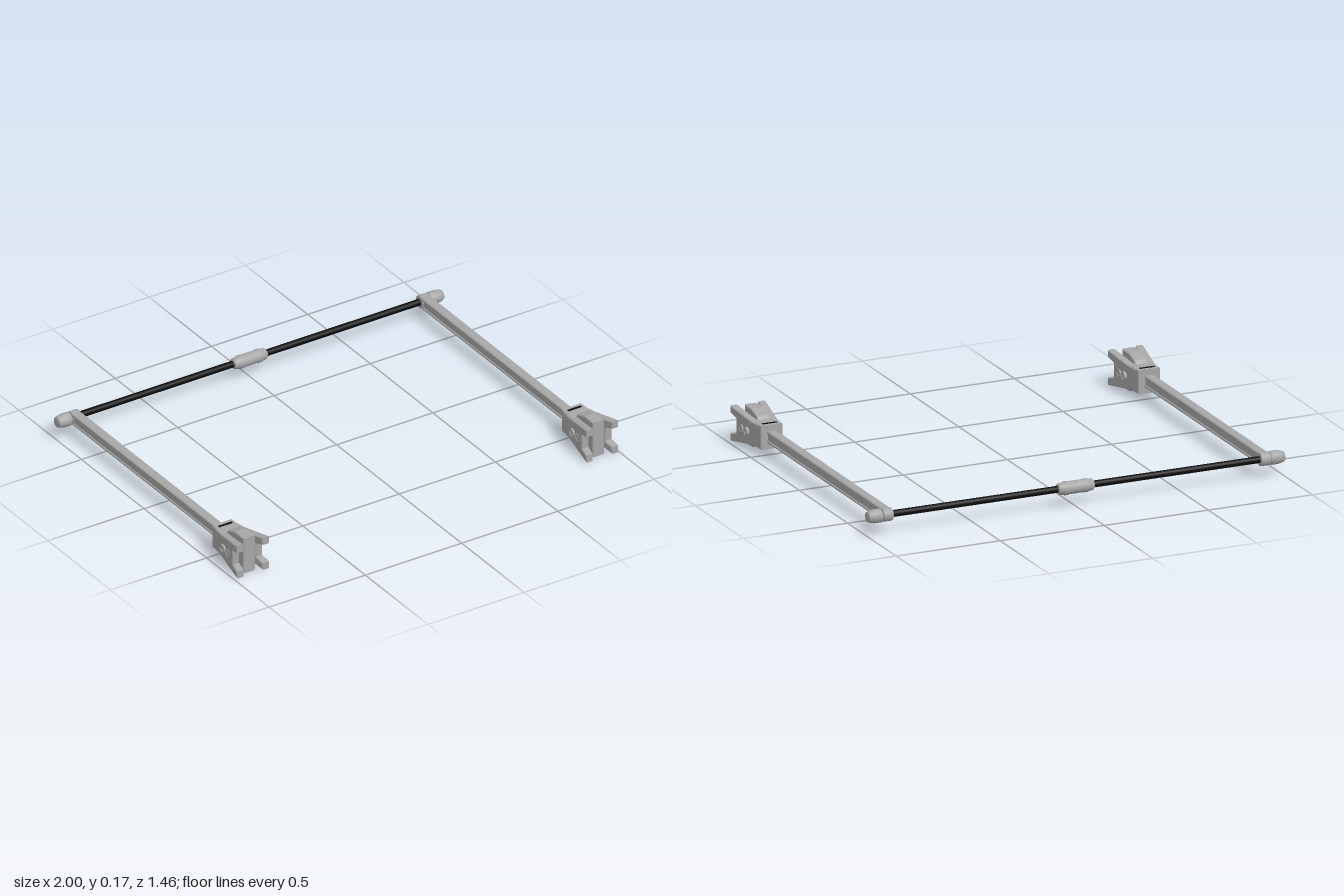
import * as THREE from 'three';

const Y = 0.0925, ARM_X = 0.907, BAR_Z = -0.7;

export function createModel() {
  const grey = new THREE.MeshStandardMaterial({ color: 0xa6a6a6 });
  grey.name = 'grey metal';
  const black = new THREE.MeshStandardMaterial({ color: 0x0b0b0b });
  black.name = 'black';

  const add = (parent, name, geo, mat, x = 0, y = 0, z = 0) => {
    const m = new THREE.Mesh(geo, mat);
    m.name = name;
    m.position.set(x, y, z);
    parent.add(m);
    return m;
  };
  const shapeOf = (pts) => new THREE.Shape(pts.map((p) => new THREE.Vector2(...p)));
  // side outline given as (z, y), extruded across x and centred
  const sideExtrude = (pts, width) => {
    const bevel = 0.004;
    const g = new THREE.ExtrudeGeometry(shapeOf(pts), {
      depth: width - 2 * bevel, bevelEnabled: true, bevelThickness: bevel,
      bevelSize: bevel, bevelOffset: -bevel, bevelSegments: 1,
    });
    g.translate(0, 0, -width / 2 + bevel);
    return g.rotateY(-Math.PI / 2);
  };
  // turned part along x, outline given as (radius, x)
  const turned = (pts, seg = 24) =>
    new THREE.LatheGeometry(pts.map((p) => new THREE.Vector2(...p)), seg).rotateZ(-Math.PI / 2);

  const model = new THREE.Group();
  model.name = 'gripperFrame';

  // crossbar and central grip
  add(model, 'crossbar', new THREE.CylinderGeometry(0.015, 0.015, 1.77, 20).rotateZ(Math.PI / 2), black, 0, Y, BAR_Z);
  add(model, 'centreGrip', turned([
    [0, -0.086], [0.02, -0.086], [0.025, -0.08], [0.028, -0.06], [0.031, -0.055], [0.031, -0.04],
    [0.029, -0.035], [0.029, 0.035], [0.031, 0.04], [0.031, 0.055], [0.028, 0.06], [0.025, 0.08],
    [0.02, 0.086], [0, 0.086],
  ]), grey, 0, Y, BAR_Z);

  for (const s of [-1, 1]) {
    const side = new THREE.Group();
    side.name = s > 0 ? 'leftSide' : 'rightSide';
    side.position.set(s * ARM_X, Y, 0);
    model.add(side);

    // grooved arm
    const half = [[0.018, -0.028], [0.0225, -0.024], [0.0225, -0.018], [0.018, -0.014],
      [0.018, 0.014], [0.0225, 0.018], [0.0225, 0.024], [0.018, 0.028]];
    const arm = new THREE.ExtrudeGeometry(
      shapeOf([...half, ...half.map(([x, y]) => [-x, -y])]),
      { depth: 1.2, bevelEnabled: false });
    add(side, 'arm', arm, grey, 0, 0, BAR_Z);

    // rounded arm end and tapered end cap
    add(side, 'armHub', turned([[0, -0.023], [0.028, -0.023], [0.03, -0.02], [0.03, 0.02], [0.028, 0.023], [0, 0.023]]),
      grey, 0, 0, BAR_Z);
    const cap = add(side, 'endCap', turned([
      [0, 0.02], [0.024, 0.02], [0.024, 0.028], [0.031, 0.03], [0.031, 0.06],
      [0.026, 0.085], [0.022, 0.093], [0, 0.093],
    ]), grey, 0, 0, BAR_Z);
    if (s < 0) cap.rotation.y = Math.PI;

    // clamp head
    const head = new THREE.Group();
    head.name = 'clampHead';
    side.add(head);
    add(head, 'socket', sideExtrude([[0.483, -0.055], [0.62, -0.055], [0.62, 0.055], [0.483, 0.055]], 0.106), grey);
    add(head, 'centreBlock', sideExtrude([
      [0.56, -0.05], [0.575, -0.07], [0.63, -0.0875], [0.7, -0.0875],
      [0.7, 0.0875], [0.63, 0.0875], [0.575, 0.07], [0.56, 0.05],
    ], 0.06), grey);

    // flared fork plates
    for (const k of [-1, 1]) {
      const plate = sideExtrude([
        [0.5, -0.052], [0.57, -0.055], [0.73, -0.081], [0.73, -0.046], [0.685, -0.034],
        [0.685, 0.034], [0.73, 0.046], [0.73, 0.081], [0.57, 0.055], [0.5, 0.052],
      ], 0.036);
      const p = plate.attributes.position;
      for (let i = 0; i < p.count; i++) p.setX(i, p.getX(i) + k * (0.035 + (p.getZ(i) - 0.5) * 0.138));
      plate.computeVertexNormals();
      add(head, 'forkPlate', plate, grey);
    }

    // through bolts with recessed ends
    for (const z of [0.596, 0.642]) {
      add(head, 'bolt', turned([
        [0, -0.071], [0.013, -0.071], [0.014, -0.076], [0.018, -0.076], [0.02, -0.073],
        [0.02, 0.073], [0.018, 0.076], [0.014, 0.076], [0.013, 0.071], [0, 0.071],
      ], 20), grey, 0, 0, z);
    }

    // dark slots on top and bottom of the socket
    for (const k of [-1, 1]) {
      add(head, 'slot', new THREE.BoxGeometry(0.07, 0.004, 0.012), black, 0, k * 0.0545, 0.507);
    }
  }
  return model;
}
